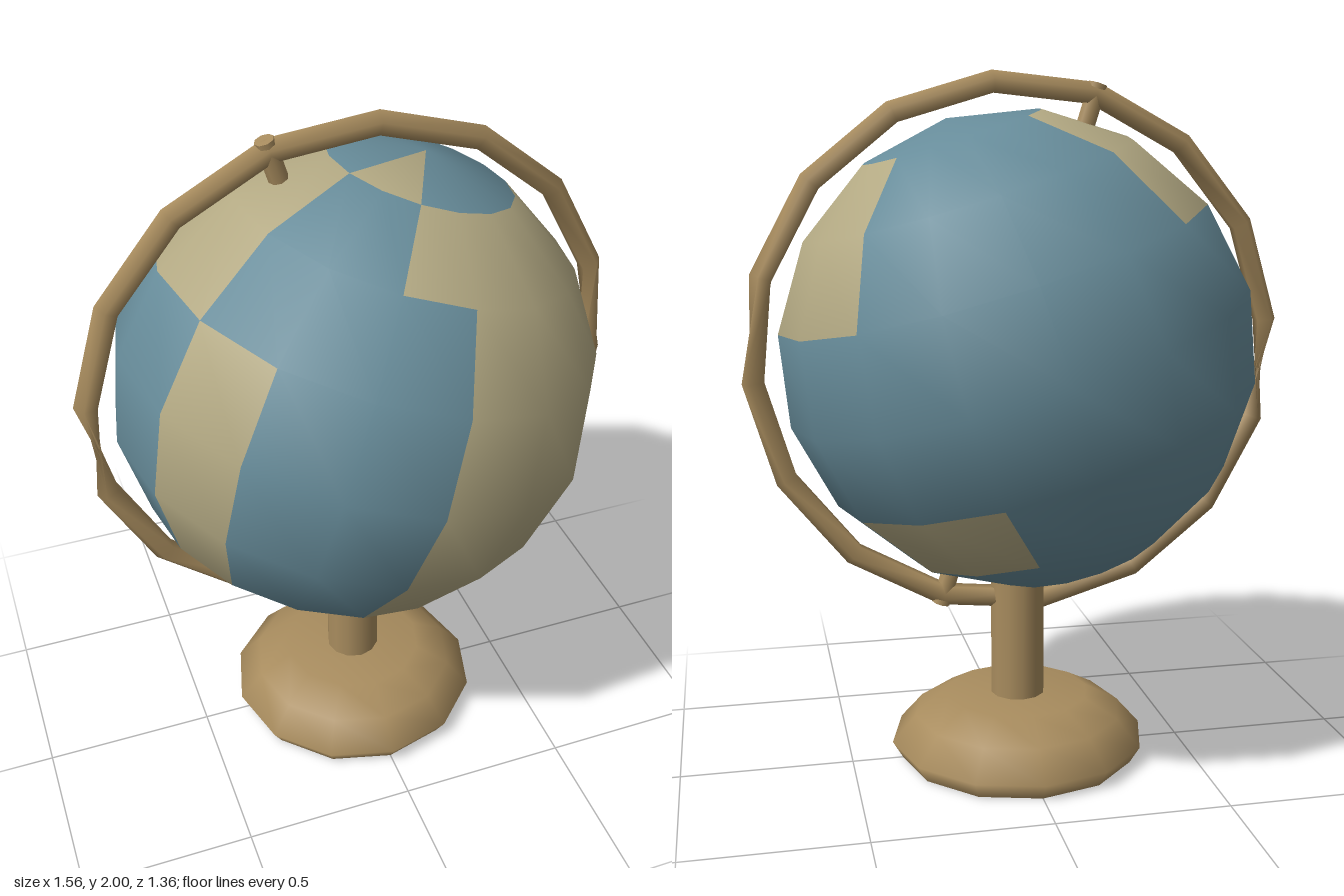
import * as THREE from 'three';

const TILT = 0.3;
const CENTER_Y = 1.22;
const COLS = 16, ROWS = 8;

// Land cells of the globe: [first row, end row, first column, end column],
// columns counted from +x towards the front.
const LAND = [
  [1, 2, -2, 5], [2, 3, -2, 4], [3, 5, 2, 4], [5, 6, 3, 4], // large front continent
  [0, 1, 5, 7],   // polar wedge
  [1, 3, 7, 10],  // upper left continent
  [3, 6, 6, 7],   // narrow strip
  [5, 6, -3, -1], // island at the back
];

function isLand(row, col) {
  return LAND.some(([r0, r1, c0, c1]) =>
    row >= r0 && row < r1 && [col, col - COLS].some((c) => c >= c0 && c < c1));
}

// Sphere whose triangles are sorted into an ocean group and a land group
function globeGeometry() {
  const geo = new THREE.SphereGeometry(0.68, COLS, ROWS);
  const source = geo.index.array;
  const sorted = [[], []];
  let at = 0;
  for (let row = 0; row < ROWS; row++) {
    const count = row === 0 || row === ROWS - 1 ? 3 : 6;
    for (let ix = 0; ix < COLS; ix++) {
      const col = (7 - ix + COLS) % COLS;
      sorted[isLand(row, col) ? 1 : 0].push(...source.slice(at, at + count));
      at += count;
    }
  }
  geo.setIndex([...sorted[0], ...sorted[1]]);
  geo.addGroup(0, sorted[0].length, 0);
  geo.addGroup(sorted[0].length, sorted[1].length, 1);
  return geo;
}

// Five-sided ring; the lower half is turned two sides on, pinching both joints
function ringGeometry(radius, tube) {
  const sides = 5, steps = 16, pos = [], idx = [];
  for (let k = 0; k < steps; k++) {
    const u = (k / steps) * Math.PI * 2;
    for (let s = 0; s < sides; s++) {
      const v = ((s + (k >= 8 ? 2 : 0)) / sides) * Math.PI * 2;
      const r = radius + tube * Math.cos(v);
      pos.push(r * Math.cos(u), r * Math.sin(u), tube * Math.sin(v));
      const s1 = (s + 1) % sides, k1 = (k + 1) % steps;
      const a = k * sides + s1, b = k * sides + s, c = k1 * sides + s, d = k1 * sides + s1;
      idx.push(a, b, d, b, c, d);
    }
  }
  const geo = new THREE.BufferGeometry();
  geo.setAttribute('position', new THREE.Float32BufferAttribute(pos, 3));
  geo.setIndex(idx);
  geo.computeVertexNormals();
  return geo;
}

export function createModel() {
  const model = new THREE.Group();
  model.name = 'deskGlobe';

  const material = (name, color) => {
    const m = new THREE.MeshStandardMaterial({ color });
    m.name = name;
    return m;
  };
  const wood = material('wood', 0xa88c5e);
  const ocean = material('ocean', 0x678c9a);
  const land = material('land', 0xb3a983);

  const add = (name, geo, mat, y = 0) => {
    const mesh = new THREE.Mesh(geo, mat);
    mesh.name = name;
    mesh.position.y = y;
    model.add(mesh);
    return mesh;
  };

  // Foot: rounded top with a flat underside
  const profile = [[0.35, 0], [0.38, 0.05], [0.31, 0.13], [0.21, 0.185], [0, 0.185]]
    .map(([x, y]) => new THREE.Vector2(x, y));
  add('base', new THREE.LatheGeometry(profile, 12), wood);
  const underside = add('baseUnderside', new THREE.CircleGeometry(0.35, 12), wood);
  underside.rotation.x = Math.PI / 2;
  add('stem', new THREE.CylinderGeometry(0.08, 0.08, 0.39, 12), wood, 0.355);

  // Ring and the two pins that hold the globe
  add('ring', ringGeometry(0.75, 0.034), wood, CENTER_Y).rotation.z = TILT;
  const pins = new THREE.Group();
  pins.name = 'pins';
  pins.position.y = CENTER_Y;
  pins.rotation.z = TILT;
  for (const side of [1, -1]) {
    const pin = new THREE.Mesh(new THREE.CylinderGeometry(0.027, 0.027, 0.14, 8), wood);
    pin.name = side > 0 ? 'topPin' : 'bottomPin';
    pin.position.y = side * 0.71;
    pins.add(pin);
  }
  model.add(pins);

  // Globe, leaning the opposite way to the pins
  add('globe', globeGeometry(), [ocean, land], CENTER_Y).rotation.z = -TILT;

  return model;
}
